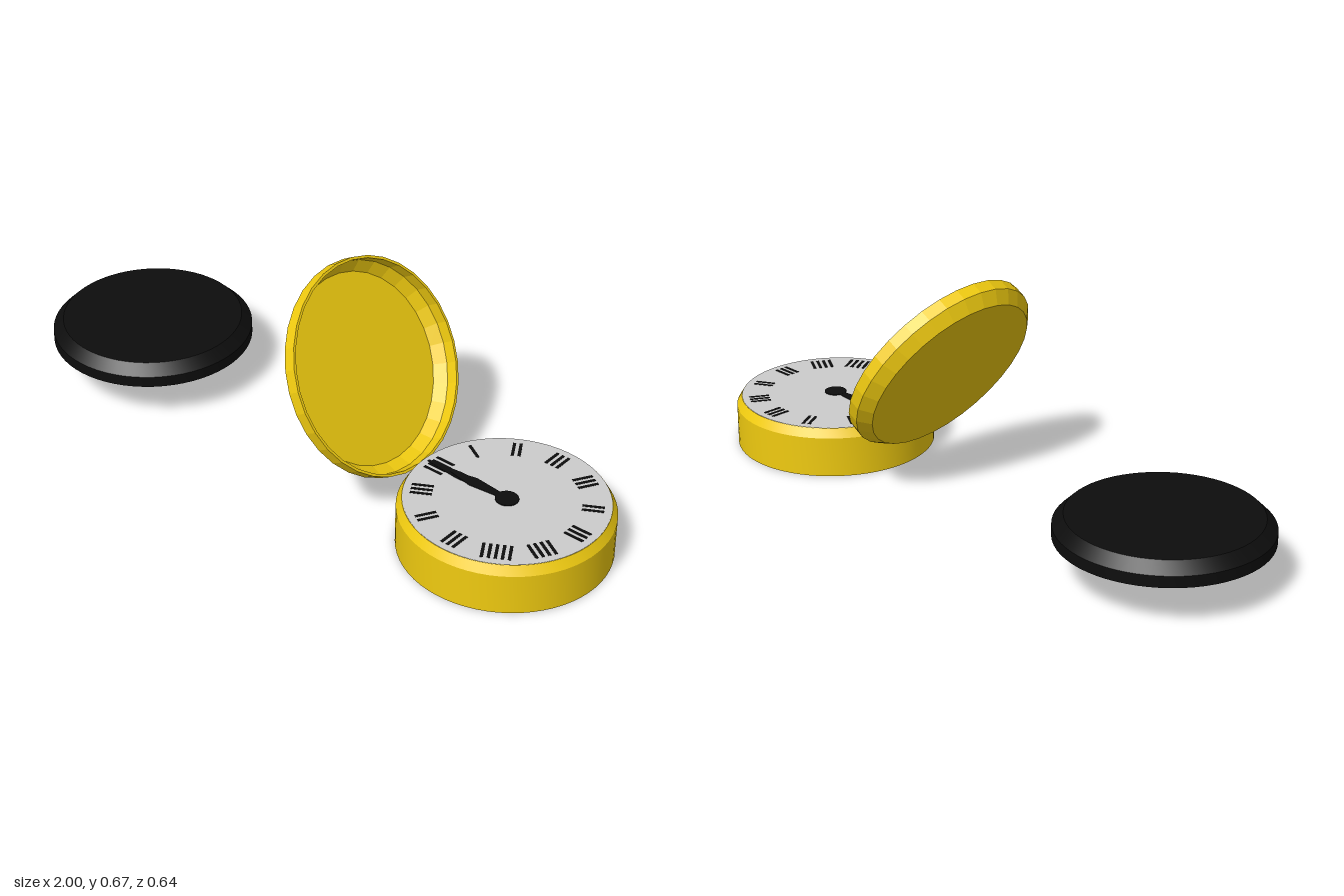
import * as THREE from 'three';
import { toCreasedNormals } from 'three/addons/utils/BufferGeometryUtils.js';

const gold = new THREE.MeshStandardMaterial({ color: 0xf0cb10, side: THREE.DoubleSide });
const goldFlat = new THREE.MeshStandardMaterial({ color: 0xf0cb10, side: THREE.DoubleSide, flatShading: true });
const black = new THREE.MeshStandardMaterial({ color: 0x0d0d0d, side: THREE.DoubleSide });
const grey = new THREE.MeshStandardMaterial({ color: 0xcccccc });

function add(parent, name, geometry, material, x = 0, y = 0, z = 0) {
  const mesh = new THREE.Mesh(geometry, material);
  mesh.name = name;
  mesh.position.set(x, y, z);
  parent.add(mesh);
  return mesh;
}

// Turned part with sharp edges between its bands
function turned(profile, segments) {
  const points = profile.map(([r, y]) => new THREE.Vector2(r, y));
  return toCreasedNormals(new THREE.LatheGeometry(points, segments), 0.3);
}

// Thin chamfered dish, open towards +y, rim at y = 0
function dish(r, depth, segments) {
  const wall = 0.008, floor = 0.005, bend = -depth * 0.52;
  return turned([
    [0, -depth], [r - 0.032, -depth], [r, bend], [r, 0],
    [r - wall, 0], [r - wall, bend], [r - 0.037, floor - depth], [0, floor - depth],
  ], segments);
}

// Flat tapered pointer along -x, lying on the dial
function pointer(length, width) {
  const shape = new THREE.Shape();
  shape.moveTo(0, -0.008);
  shape.lineTo(0, 0.008);
  shape.lineTo(-length * 0.6, width);
  shape.lineTo(-length, 0.004);
  shape.lineTo(-length, -0.004);
  shape.lineTo(-length * 0.6, -width);
  const geometry = new THREE.ExtrudeGeometry(shape, { depth: 0.0015, bevelEnabled: false });
  return geometry.rotateX(-Math.PI / 2);
}

export function createModel() {
  const model = new THREE.Group();

  // Watch body and dial
  const watch = new THREE.Group();
  watch.name = 'watch';
  watch.position.x = 0.69;
  model.add(watch);
  add(watch, 'case', turned([[0, 0], [0.31, 0], [0.31, 0.125], [0.294, 0.152], [0, 0.152]], 64), gold);
  add(watch, 'dial', new THREE.CylinderGeometry(0.293, 0.293, 0.002, 64), grey, 0, 0.152, 0);

  // Hour marks: groups of radial strokes, the twelfth hour lying at -x
  const strokes = [1, 2, 3, 3, 2, 3, 4, 5, 3, 2, 3, 4];
  strokes.forEach((count, i) => {
    const mark = new THREE.Group();
    mark.name = 'hourMark';
    mark.rotation.y = Math.PI - (i + 1) * Math.PI / 6;
    watch.add(mark);
    for (let k = 0; k < count; k++) {
      const z = (k - (count - 1) / 2) * 0.019;
      add(mark, 'stroke', new THREE.BoxGeometry(0.062, 0.001, 0.009), black, 0.24, 0.1535, z);
    }
  });

  // Hands, both pointing to -x
  add(watch, 'minuteHand', pointer(0.28, 0.016), black, 0, 0.153, 0);
  add(watch, 'hourHand', pointer(0.197, 0.02), black, 0, 0.1545, 0);
  add(watch, 'handHub', new THREE.CylinderGeometry(0.034, 0.034, 0.003, 32), black, 0, 0.1547, 0);

  // Open lid, leaning away from the body
  const lid = add(model, 'lid', dish(0.318, 0.073, 32), goldFlat, 0.222, 0.396, 0);
  lid.rotation.z = -Math.PI / 3;

  // Separate dark cover, open underneath
  const cover = add(model, 'cover', dish(0.31, 0.066, 64), black, -0.69, 0.13, 0);
  cover.rotation.x = Math.PI;

  return model;
}
